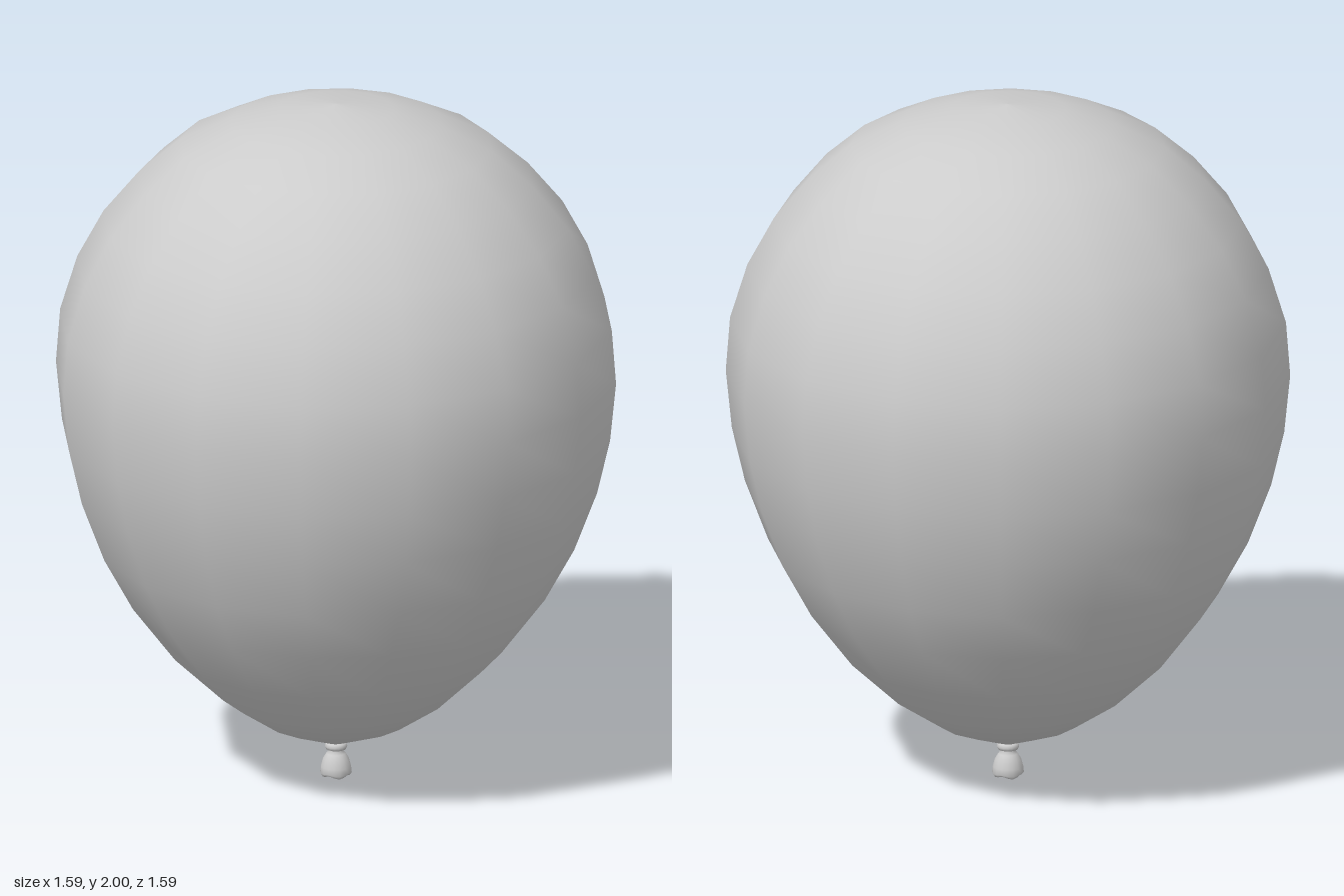
import * as THREE from 'three';

const SIDES = 16;

// Smooth turned part from [radius, height] pairs, listed bottom to top
function turned(name, profile, material) {
  const points = profile.map(([r, y]) => new THREE.Vector2(r, y));
  const mesh = new THREE.Mesh(new THREE.LatheGeometry(points, SIDES), material);
  mesh.name = name;
  return mesh;
}

export function createModel() {
  const group = new THREE.Group();
  group.name = 'balloon';
  const rubber = new THREE.MeshStandardMaterial({ color: 0xcccccc });
  const thinRubber = new THREE.MeshStandardMaterial({ color: 0xcccccc, side: THREE.DoubleSide });

  // Inflated body, narrowing to the knot
  group.add(turned('body', [
    [0, 0.098], [0.03, 0.103], [0.205, 0.17], [0.33, 0.253], [0.47, 0.385], [0.593, 0.547],
    [0.677, 0.7], [0.742, 0.872], [0.779, 1.03], [0.796, 1.2], [0.784, 1.357],
    [0.735, 1.516], [0.661, 1.653], [0.56, 1.775], [0.444, 1.876],
    [0.302, 1.944], [0.164, 1.984], [0, 2],
  ], rubber));

  // Rolled knot under the body
  const knot = new THREE.Mesh(new THREE.TorusGeometry(0.02, 0.012, 8, SIDES), rubber);
  knot.name = 'knot';
  knot.rotation.x = Math.PI / 2;
  knot.position.y = 0.09;
  group.add(knot);

  // Flared open lip, with a gently wavy rim
  const lip = turned('lip', [
    [0.03, 0.012], [0.038, 0.004], [0.045, 0.012], [0.043, 0.03], [0.037, 0.052],
    [0.027, 0.068], [0.019, 0.076], [0.02, 0.1],
  ], thinRubber);
  const pos = lip.geometry.attributes.position;
  for (let i = 0; i < pos.count; i++) {
    const y = pos.getY(i);
    if (y > 0.02) continue;
    const angle = Math.atan2(pos.getX(i), pos.getZ(i));
    pos.setY(i, y + 0.004 * Math.cos(angle * 4) * (y < 0.01 ? 1 : 0.5));
  }
  lip.geometry.computeBoundingSphere();
  group.add(lip);

  // Inner wall of the lip
  group.add(turned('lipInside', [[0.03, 0.012], [0.028, 0.04], [0, 0.062]], thinRubber));

  return group;
}
